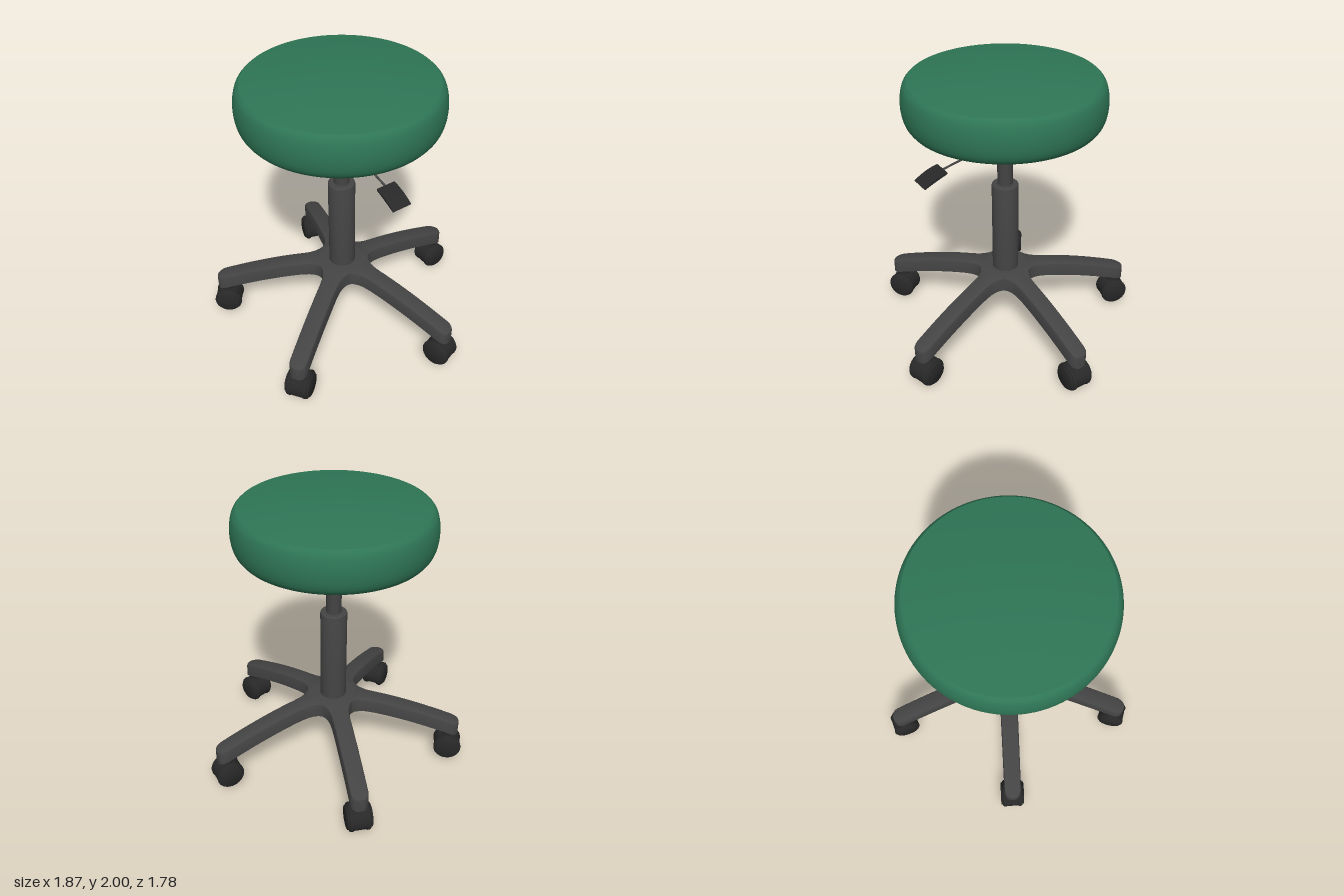
import * as THREE from 'three';
import { toCreasedNormals } from 'three/addons/utils/BufferGeometryUtils.js';

const mat = (color, side = THREE.FrontSide) => new THREE.MeshStandardMaterial({ color, side });
const green = mat(0x2e7555);
const darkGrey = mat(0x444444);
const black = mat(0x282828);
const plateBlack = mat(0x151515);
const steel = mat(0xcccccc);

function add(parent, name, geometry, material, x = 0, y = 0, z = 0) {
  const mesh = new THREE.Mesh(geometry, material);
  mesh.name = name;
  mesh.position.set(x, y, z);
  parent.add(mesh);
  return mesh;
}

function lathe(pairs, segments = 48, crease = 0.5) {
  const points = pairs.map(([x, y]) => new THREE.Vector2(x, y));
  return toCreasedNormals(new THREE.LatheGeometry(points, segments), crease);
}

// Padded round seat: recessed underside, bulging side, seam, shallow dome
function seatGeometry() {
  const side = new THREE.SplineCurve([
    [0.625, 1.667], [0.646, 1.695], [0.66, 1.735], [0.667, 1.79],
    [0.665, 1.85], [0.655, 1.9], [0.641, 1.933], [0.62, 1.955],
  ].map(([x, y]) => new THREE.Vector2(x, y))).getPoints(21).map((p) => [p.x, p.y]);
  const dome = [];
  for (let i = 1; i <= 8; i++) {
    const r = 0.62 * (1 - i / 8);
    dome.push([r, 2 - 0.045 * (r / 0.62) ** 2]);
  }
  return lathe([[0.5, 1.7], [0.5, 1.667], ...side, ...dome], 96);
}

// Arched arm along -z; its inner end is a wedge so five arms form the hub
function armGeometry() {
  const stations = [[0.002, 0.0014], [0.15, 0.109], [0.17, 0.091], [0.2, 0.077], [0.24, 0.068]];
  for (let i = 0; i <= 14; i++) stations.push([0.3 + i * 0.041, 0.064 - i * 0.0002]);
  stations.push([0.896, 0.057], [0.912, 0.048], [0.924, 0.035], [0.93, 0.02]);
  const positions = [];
  const index = [];
  for (const [r, w] of stations) {
    const drop = 0.183 * Math.max(0, (r - 0.15) / 0.78) ** 1.5;
    const top = 0.495 - drop;
    const bottom = 0.39 - drop;
    const c = 0.016 * THREE.MathUtils.clamp((r - 0.15) / 0.09, 0, 1);
    const section = [
      [-w, bottom], [w, bottom], [w, top - c], [w - 0.3 * c, top - 0.3 * c], [w - c, top],
      [c - w, top], [0.3 * c - w, top - 0.3 * c], [-w, top - c],
    ];
    for (const [x, y] of section) positions.push(x, y, -r);
  }
  const n = 8;
  for (let s = 0; s < stations.length - 1; s++) {
    for (let j = 0; j < n; j++) {
      const a = s * n + j;
      const b = s * n + (j + 1) % n;
      index.push(a, b, b + n, a, b + n, a + n);
    }
  }
  const last = (stations.length - 1) * n;
  for (let j = 1; j < n - 1; j++) index.push(last, last + j, last + j + 1);
  // Corner order runs anticlockwise seen from +z, so flip to face outwards
  for (let i = 0; i < index.length; i += 3) [index[i + 1], index[i + 2]] = [index[i + 2], index[i + 1]];
  const geometry = new THREE.BufferGeometry();
  geometry.setAttribute('position', new THREE.Float32BufferAttribute(positions, 3));
  geometry.setIndex(index);
  return toCreasedNormals(geometry, 0.7);
}

// Curved cover over the gap between the wheels
function hoodGeometry() {
  const shape = new THREE.Shape();
  shape.absarc(0, 0, 0.096, -Math.PI / 6, Math.PI * 7 / 6, false);
  shape.absarc(0, 0, 0.07, Math.PI * 7 / 6, -Math.PI / 6, true);
  shape.closePath();
  const geometry = new THREE.ExtrudeGeometry(shape, { depth: 0.09, bevelEnabled: false, curveSegments: 28 });
  geometry.translate(0, 0, -0.045).rotateY(Math.PI / 2);
  return toCreasedNormals(geometry, 0.5);
}

// Twin wheel caster, rolling along z, centred on its wheels
function createCaster(parts) {
  const caster = new THREE.Group();
  caster.name = 'caster';
  for (const side of [-1, 1]) {
    add(caster, 'casterWheel', parts.wheel, black, 0, 0.1, 0).rotation.z = -side * Math.PI / 2;
  }
  add(caster, 'casterHood', parts.hood, black, 0, 0.1, 0);
  add(caster, 'casterAxle', parts.axle, steel, 0, 0.1, 0).rotation.z = Math.PI / 2;
  add(caster, 'casterStem', parts.stem, black, 0, 0.215, -0.005);
  return caster;
}

// Height lever reaching out to +x
function createLever() {
  const lever = new THREE.Group();
  lever.name = 'heightLever';
  const rod = new THREE.LineCurve3(new THREE.Vector3(0.03, 1.524, 0), new THREE.Vector3(0.5, 1.427, 0));
  add(lever, 'leverRod', new THREE.TubeGeometry(rod, 1, 0.007, 12), darkGrey);
  add(lever, 'leverCollar', new THREE.CylinderGeometry(0.014, 0.014, 0.03, 16), black, 0.05, 1.518, 0)
    .rotation.z = Math.PI / 2 - 0.2;
  const shape = new THREE.Shape();
  shape.moveTo(0.475, 1.442);
  shape.quadraticCurveTo(0.565, 1.428, 0.645, 1.372);
  shape.lineTo(0.638, 1.366);
  shape.quadraticCurveTo(0.56, 1.402, 0.478, 1.43);
  shape.closePath();
  const paddle = new THREE.ExtrudeGeometry(shape, { depth: 0.136, bevelEnabled: false, curveSegments: 10 });
  add(lever, 'leverPaddle', toCreasedNormals(paddle, 0.5), black, 0, 0, -0.068);
  return lever;
}

export function createModel() {
  const model = new THREE.Group();
  model.name = 'swivelStool';
  const stool = new THREE.Group();
  stool.name = 'stool';
  stool.position.z = 0.07;
  model.add(stool);

  // Seat and its underside plate
  add(stool, 'seat', seatGeometry(), green);
  add(stool, 'seatPlate', new THREE.CylinderGeometry(0.502, 0.502, 0.02, 64), plateBlack, 0, 1.703, 0);

  // Telescopic column
  add(stool, 'gasLift', new THREE.CylinderGeometry(0.053, 0.053, 0.54, 40), darkGrey, 0, 1.43, 0);
  add(stool, 'columnSleeve', lathe([
    [0, 0.45], [0.093, 0.45], [0.093, 1.168], [0.09, 1.177], [0.082, 1.183], [0, 1.183],
  ]), darkGrey);
  stool.add(createLever());

  // Five-armed base with casters
  const arm = armGeometry();
  const parts = {
    wheel: lathe([
      [0, 0.04], [0.09, 0.04], [0.098, 0.045], [0.1, 0.052], [0.099, 0.064], [0.094, 0.072],
      [0.084, 0.076], [0.082, 0.084], [0.076, 0.087], [0, 0.087],
    ], 40),
    hood: hoodGeometry(),
    axle: new THREE.CylinderGeometry(0.055, 0.055, 0.084, 32),
    stem: new THREE.CylinderGeometry(0.036, 0.044, 0.07, 24),
  };
  for (let i = 0; i < 5; i++) {
    const leg = new THREE.Group();
    leg.name = 'baseLeg';
    leg.rotation.y = i * Math.PI * 2 / 5;
    add(leg, 'baseArm', arm, darkGrey);
    const caster = createCaster(parts);
    caster.position.z = -0.863;
    leg.add(caster);
    stool.add(leg);
  }
  return model;
}
